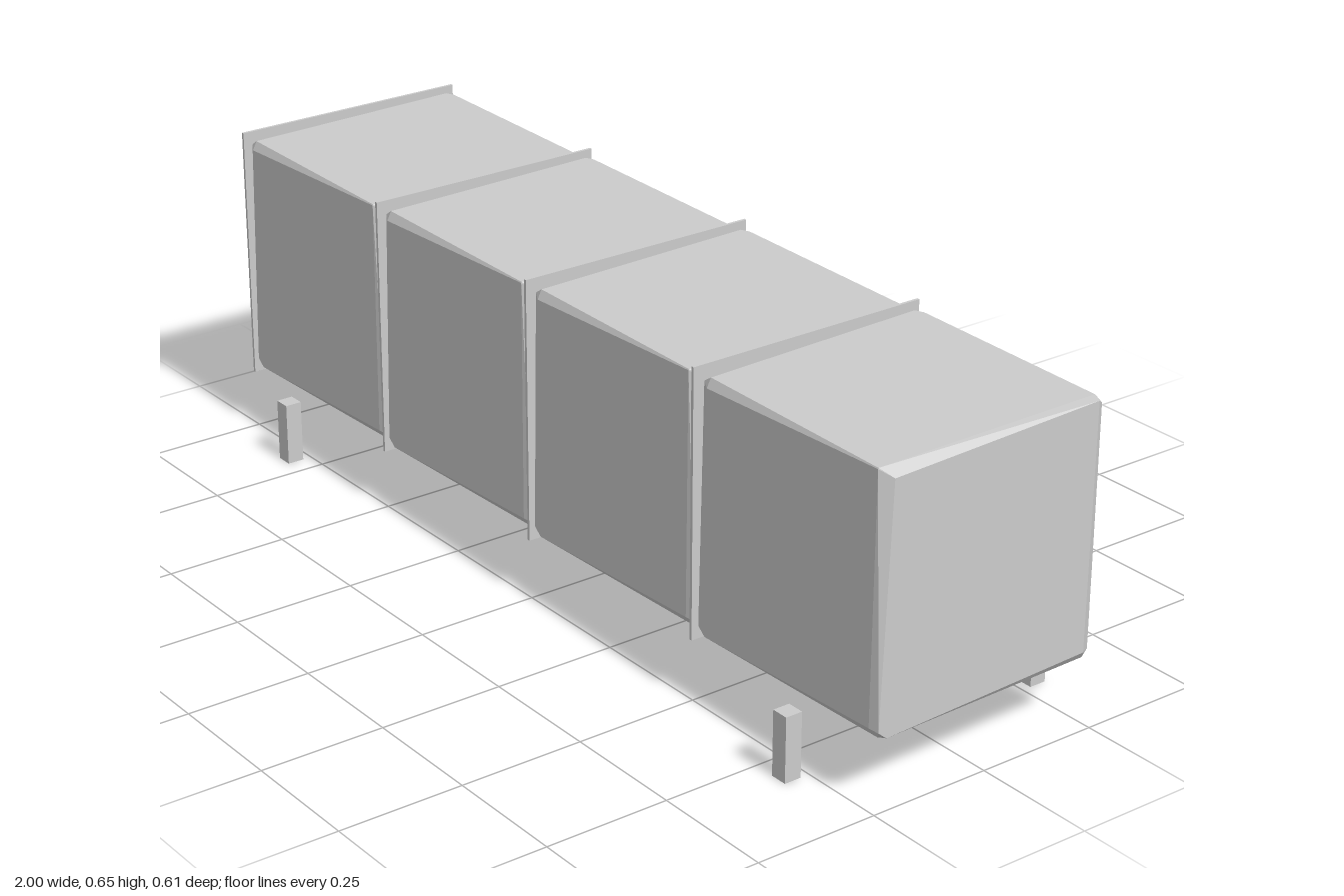
import * as THREE from 'three';
import { ConvexGeometry } from 'three/addons/geometries/ConvexGeometry.js';

const material = new THREE.MeshStandardMaterial({ color: 0xcccccc, flatShading: true });

function addBox(group, name, size, position) {
  const mesh = new THREE.Mesh(new THREE.BoxGeometry(...size), material);
  mesh.name = name;
  mesh.position.set(...position);
  group.add(mesh);
}

// Cube with slim, slightly uneven chamfers: one outline per face
function chamferedCube(w, h, d) {
  const X = w / 2, Y = h / 2, Z = d / 2;
  const points = [];
  const add = (x, y, z) => points.push(new THREE.Vector3(x, y, z));
  // Outline in (across, up) distances from the face edges
  const outline = [[-1, 1, 0.022, 0.018], [1, 1, 0.018, 0.002], [1, -1, 0.021, 0.017],
    [-1, -1, 0.022, 0], [-1, -1, 0.004, 0.015]];
  for (const [a, b, ia, ib] of outline) {
    add(X, b * (Y - ib), -a * (Z - ia)); // left end
    add(a * (X - ia), b * (Y - ib), Z); // front
    add(a * (X - ia), Y, b * (Z - ib * 0.5)); // top
  }
  for (const a of [-1, 1]) for (const b of [-1, 1]) {
    add(-X, a * (Y - 0.014), b * (Z - 0.012)); // right end
    add(a * (X - 0.012), b * (Y - 0.014), -Z); // back
    add(a * (X - 0.012), -Y, b * (Z - 0.012)); // bottom
  }
  return new ConvexGeometry(points);
}

export function createModel() {
  const model = new THREE.Group();
  model.name = 'cubeBench';

  // Four cubes in a row, each with a thin divider on its right side
  const cubeGeometry = chamferedCube(0.49, 0.5, 0.495);
  for (let i = 0; i < 4; i++) {
    const cube = new THREE.Mesh(cubeGeometry, material);
    cube.name = `cube${i + 1}`;
    cube.position.set(-0.752 + i * 0.5015, 0.39, 0);
    model.add(cube);
    addBox(model, `divider${i + 1}`, [0.006, 0.53, 0.514], [-0.997 + i * 0.4995, 0.39, 0]);
  }

  // Four short square legs, set outside the cubes
  for (const sx of [-1, 1]) for (const sz of [-1, 1]) {
    const name = `${sz > 0 ? 'front' : 'back'}${sx > 0 ? 'Left' : 'Right'}Leg`;
    addBox(model, name, [0.035, 0.13, 0.035], [sx * 0.811, 0.065, sz * 0.2865]);
  }
  return model;
}
